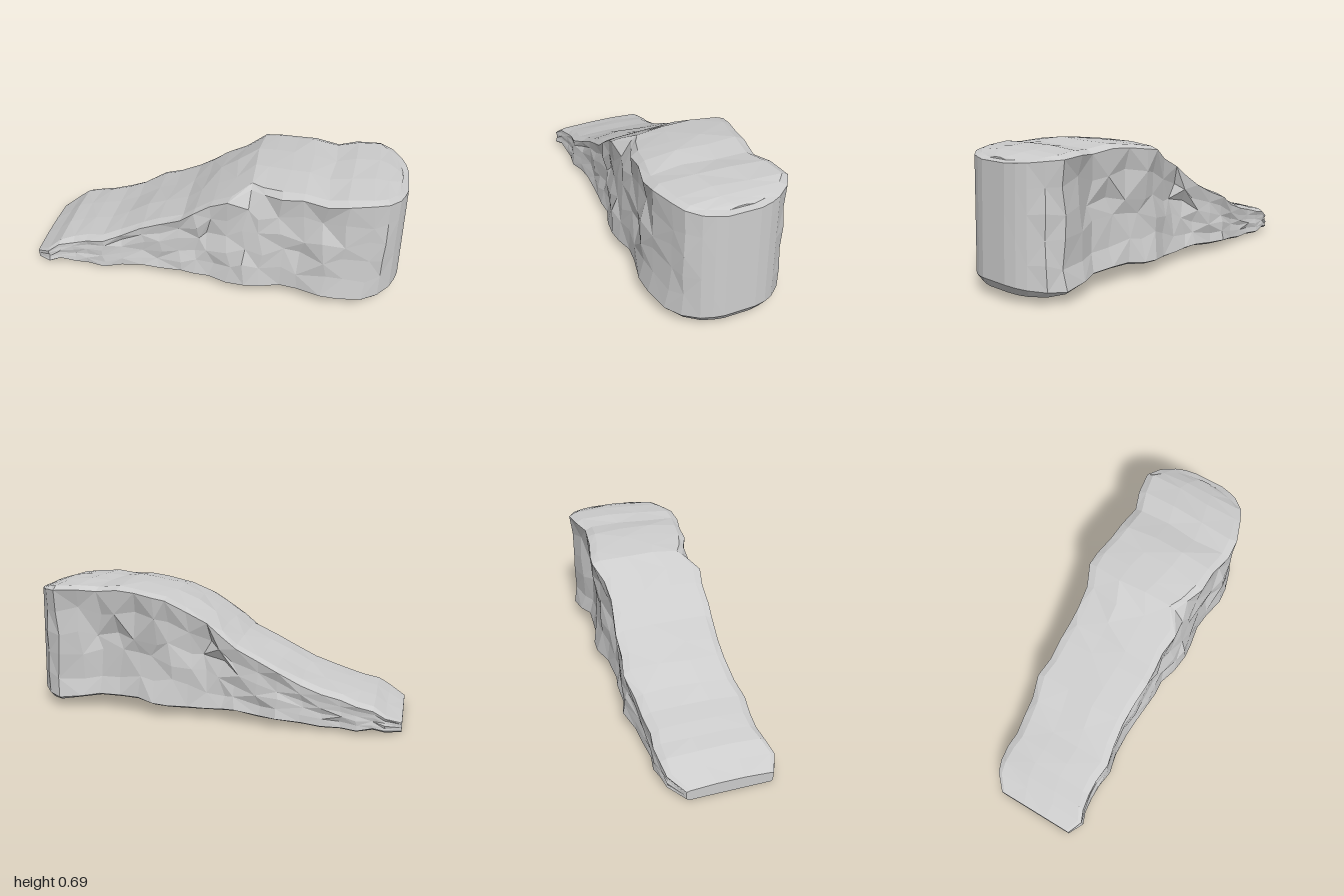
import * as THREE from 'three';

// Cross-sections along the ramp: x, bottom y, top y, front z, back z
const STATIONS = [
  [-1, 0.0, 0.065, 0.25, -0.18],
  [-0.92, 0.015, 0.11, 0.295, -0.25],
  [-0.86, 0.028, 0.155, 0.275, -0.265],
  [-0.78, 0.01, 0.175, 0.265, -0.275],
  [-0.7, 0.014, 0.2, 0.265, -0.265],
  [-0.6, 0.014, 0.225, 0.28, -0.275],
  [-0.5, 0.028, 0.265, 0.26, -0.285],
  [-0.38, 0.045, 0.33, 0.255, -0.315],
  [-0.28, 0.045, 0.375, 0.26, -0.295],
  [-0.16, 0.062, 0.43, 0.275, -0.29],
  [-0.08, 0.056, 0.49, 0.28, -0.28],
  [0, 0.05, 0.55, 0.275, -0.275],
  [0.1, 0.05, 0.605, 0.3, -0.285],
  [0.2, 0.06, 0.665, 0.315, -0.32],
  [0.28, 0.065, 0.675, 0.315, -0.32],
  [0.38, 0.08, 0.69, 0.295, -0.295],
  [0.48, 0.08, 0.697, 0.305, -0.285],
  [0.6, 0.075, 0.682, 0.325, -0.275],
  [0.7, 0.065, 0.692, 0.32, -0.31],
  [0.82, 0.048, 0.686, 0.285, -0.33],
  [0.9, 0.04, 0.677, 0.235, -0.28],
  [0.96, 0.04, 0.665, 0.165, -0.21],
  [0.985, 0.042, 0.66, 0.11, -0.16],
  [1, 0.045, 0.655, 0.06, -0.1],
];

// Heights of the side points as a share of the wall
const LEVELS = [0, 0.2, 0.4, 0.6, 0.8, 1];

function seeded(seed) {
  let s = seed;
  return () => {
    s = (s * 16807) % 2147483647;
    return s / 2147483647;
  };
}

// Smooth hump of width w around c
const hump = (x, c, w) => Math.exp(-(((x - c) / w) ** 2));

// One closed ring: up the front wall, over the top, down the back wall
function makeRing([x, y0, y1, zf, zb], rand) {
  const height = y1 - y0;
  const round = Math.max(0, (x - 0.8) / 0.2);
  const lowBevel = Math.min(0.012, height * 0.15) + 0.033 * round;
  const topBevel = Math.min(0.028, height * 0.2) - 0.013 * round;
  const inset = Math.min(0.045, height * 0.25) * (1 - 0.5 * round);
  // Roughness fades toward the thin tip and the smooth rounded end
  const rough = Math.min(1, height / 0.4) * (x < -0.95 || x > 0.95 ? 0 : 1 - 0.7 * Math.min(1, round * 2));
  // Broken-out hollow in the front top edge, sagging front rim, hollow back wall
  const notch = hump(x, 0.22, 0.08) * 0.09;
  const sag = hump(x, 0.36, 0.2) * 0.025;
  const hollow = 0.018 * hump(x, 0.3, 0.4);
  const rimX = x - 0.03 * round;
  const lean = (y) => 0.025 * round * (y - y0) / height;

  const wall = (z, front) => LEVELS.map((t) => {
    const inner = t > 0 && t < 1;
    const amount = rough * (inner ? 1 : 0.3);
    const shift = inner ? (rand() - 0.5) * 0.09 * rough * height : 0;
    const y = y0 + lowBevel + (height - lowBevel - topBevel - (front ? sag : 0)) * t + shift;
    const shape = front ? notch * t ** 3 + 0.025 * t * rough : hollow * Math.sin(Math.PI * t);
    const dent = amount * rand() * 0.034 + shape;
    return [x - lean(y) + amount * (rand() - 0.5) * 0.05, y, front ? z - dent : z + dent];
  });

  const front = wall(zf, true);
  const back = wall(zb, false).reverse();
  const top = [0, 0.33, 0.67, 1].map((t) => [
    rimX - lean(y1) + rough * (rand() - 0.5) * 0.03,
    y1 - (t === 0 ? 0.008 + sag * 0.6 : t === 1 ? 0.008 : 0) - rough * rand() * 0.006,
    THREE.MathUtils.lerp(zf - inset - notch - 0.02 * rough, zb + inset, t),
  ]);
  return [
    [rimX, y0, zf - inset * 0.6], ...front, ...top, ...back, [rimX, y0, zb + inset * 0.6],
  ];
}

// Skin the rings and close both ends with level strips
function loft(rings) {
  const n = rings[0].length;
  const index = [];
  for (let i = 0; i < rings.length - 1; i++) {
    for (let j = 0; j < n; j++) {
      const k = (j + 1) % n;
      const a = i * n + j, b = i * n + k;
      const c = a + n, d = b + n;
      if ((i + j) % 2) index.push(a, c, b, b, c, d);
      else index.push(a, c, d, a, d, b);
    }
  }
  const last = (rings.length - 1) * n;
  for (let j = 0; j < n / 2 - 1; j++) {
    const a = j, b = j + 1, c = n - 2 - j, d = n - 1 - j;
    index.push(a, b, c, a, c, d);
    index.push(last + a, last + c, last + b, last + a, last + d, last + c);
  }
  const geometry = new THREE.BufferGeometry();
  geometry.setAttribute('position', new THREE.Float32BufferAttribute(rings.flat(2), 3));
  geometry.setIndex(index);
  const faceted = geometry.toNonIndexed();
  faceted.computeVertexNormals();
  return faceted;
}

export function createModel() {
  const group = new THREE.Group();
  group.name = 'rockRamp';
  const rand = seeded(4271);
  const rock = new THREE.Mesh(
    loft(STATIONS.map((s) => makeRing(s, rand))),
    new THREE.MeshStandardMaterial({ color: 0xcccccc, flatShading: true }),
  );
  rock.name = 'rock';
  group.add(rock);
  return group;
}
